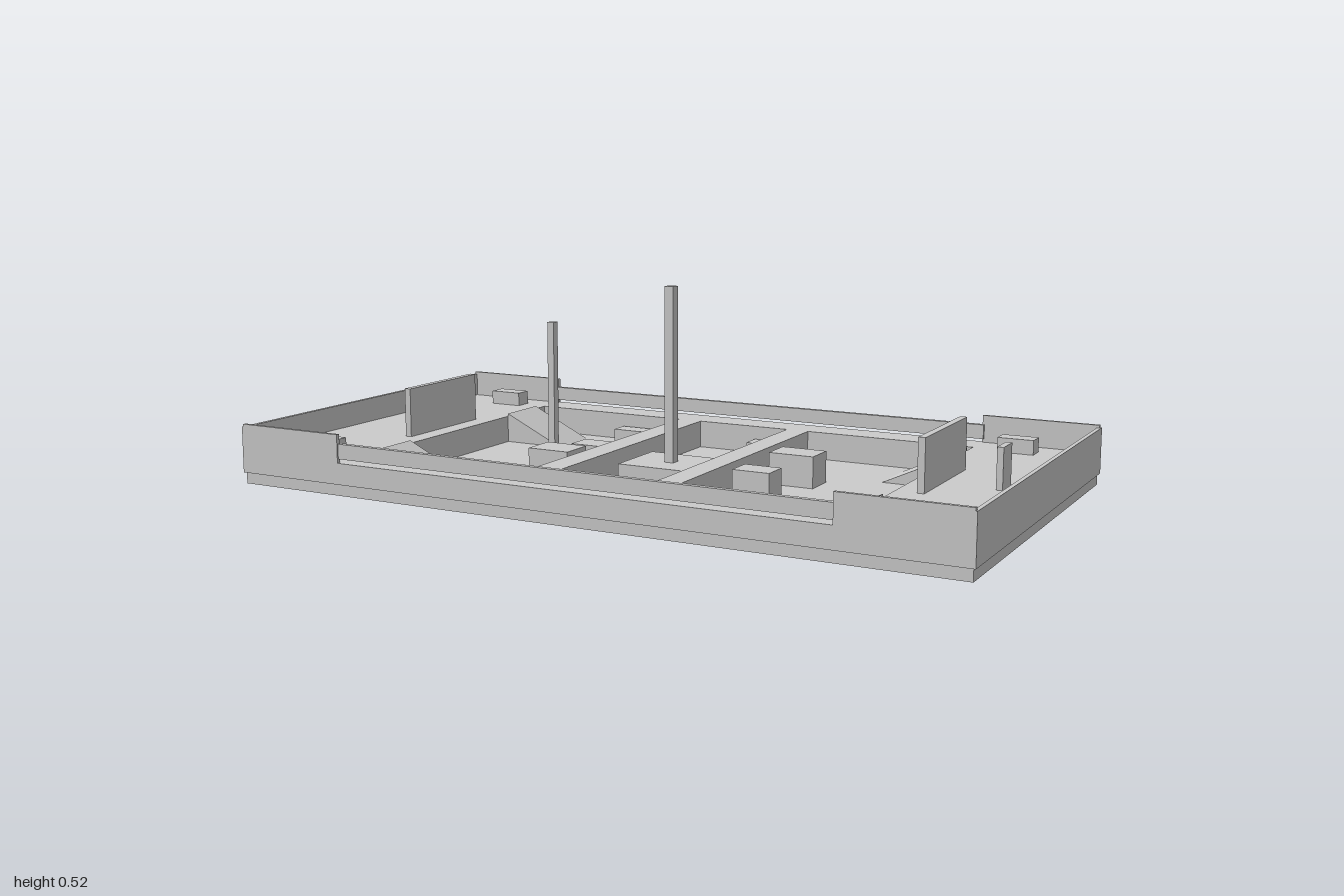
import * as THREE from 'three';

const mat = new THREE.MeshStandardMaterial({ color: 0xcccccc, flatShading: true });
const DECK = 0.086, FLOOR = 0.01;

export function createModel() {
  const model = new THREE.Group();

  const add = (name, geometry) => {
    const mesh = new THREE.Mesh(geometry, mat);
    mesh.name = name;
    model.add(mesh);
    return mesh;
  };
  // Box given by its limits on each axis
  const box = (name, x0, x1, y0, y1, z0, z1) => {
    const mesh = add(name, new THREE.BoxGeometry(x1 - x0, y1 - y0, z1 - z0));
    mesh.position.set((x0 + x1) / 2, (y0 + y1) / 2, (z0 + z1) / 2);
    return mesh;
  };
  const rect = (Type, x0, x1, z0, z1) => {
    const r = new Type();
    r.moveTo(x0, z0);
    r.lineTo(x1, z0);
    r.lineTo(x1, z1);
    r.lineTo(x0, z1);
    r.closePath();
    return r;
  };

  // Bottom plate and deck with three sunken bays
  box('bottomPlate', -0.993, 0.993, 0, FLOOR, -0.526, 0.526);
  const deck = rect(THREE.Shape, -0.993, 0.993, -0.526, 0.526);
  [[-0.68, -0.21], [-0.14, 0.135], [0.2, 0.68]].forEach(([a, b]) =>
    deck.holes.push(rect(THREE.Path, a, b, -0.44, 0.44)));
  const deckGeo = new THREE.ExtrudeGeometry(deck, { depth: DECK - FLOOR, bevelEnabled: false });
  deckGeo.rotateX(-Math.PI / 2);
  add('deck', deckGeo).position.y = FLOOR;

  // Ramps from the bay floors up to the deck
  const wedge = new THREE.Shape();
  wedge.moveTo(0.5, FLOOR);
  wedge.lineTo(0.68, FLOOR);
  wedge.lineTo(0.68, 0.094);
  wedge.closePath();
  for (const z of [-0.315, 0.305]) {
    for (const side of [1, -1]) {
      const ramp = add('ramp', new THREE.ExtrudeGeometry(wedge, { depth: 0.15, bevelEnabled: false }));
      ramp.rotation.y = side > 0 ? 0 : Math.PI;
      ramp.position.z = z - side * 0.075;
    }
  }

  // Outer walls, tall at the ends and low with a rail in the middle
  for (const s of [-1, 1]) {
    const span = (a, b) => (s > 0 ? [a, b] : [-b, -a]);
    const side = span(0.521, 0.531);
    box('endWall', ...span(0.988, 0.999), 0.03, 0.153, -0.531, 0.531);
    box('sideWall', -0.995, -0.68, 0.03, 0.16, ...side);
    box('sideWall', 0.68, 0.995, 0.03, 0.16, ...side);
    box('lowSideWall', -0.68, 0.68, 0.03, DECK, ...side);
    box('sideRail', -0.685, 0.685, 0.096, 0.135, ...span(0.513, 0.527));

    // Upright panels and corner blocks
    box('uprightPanel', ...span(0.735, 0.753), DECK, 0.22, -0.154, 0.154);
    for (const z of [-0.435, 0.43]) {
      box('cornerBlock', ...span(0.755, 0.852), DECK, 0.125, z - 0.025, z + 0.025);
    }
  }
  box('smallPanel', 0.888, 0.904, DECK, 0.19, -0.033, 0.035);

  // Equipment blocks in the bays: x0, x1, top, z0, z1
  [
    [-0.31, -0.215, 0.08, -0.075, 0],
    [-0.34, -0.22, 0.094, 0.07, 0.165],
    [0.245, 0.37, 0.094, -0.17, -0.082],
    [0.225, 0.328, 0.08, 0.02, 0.095],
    [-0.395, -0.293, 0.05, -0.432, -0.378],
    [0.038, 0.135, 0.05, -0.435, -0.378],
    [-0.14, -0.043, 0.05, 0.37, 0.427],
    [0.225, 0.328, 0.05, 0.37, 0.427],
  ].forEach(([x0, x1, top, z0, z1]) => box('equipmentBlock', x0, x1, FLOOR, top, z0, z1));

  // Masts
  box('mastBase', -0.11, 0.108, FLOOR, 0.06, -0.095, 0.09);
  box('mainMast', -0.013, 0.013, 0.06, 0.525, -0.012, 0.014);
  box('smallMast', -0.416, -0.396, FLOOR, 0.402, -0.072, -0.051);

  return model;
}
